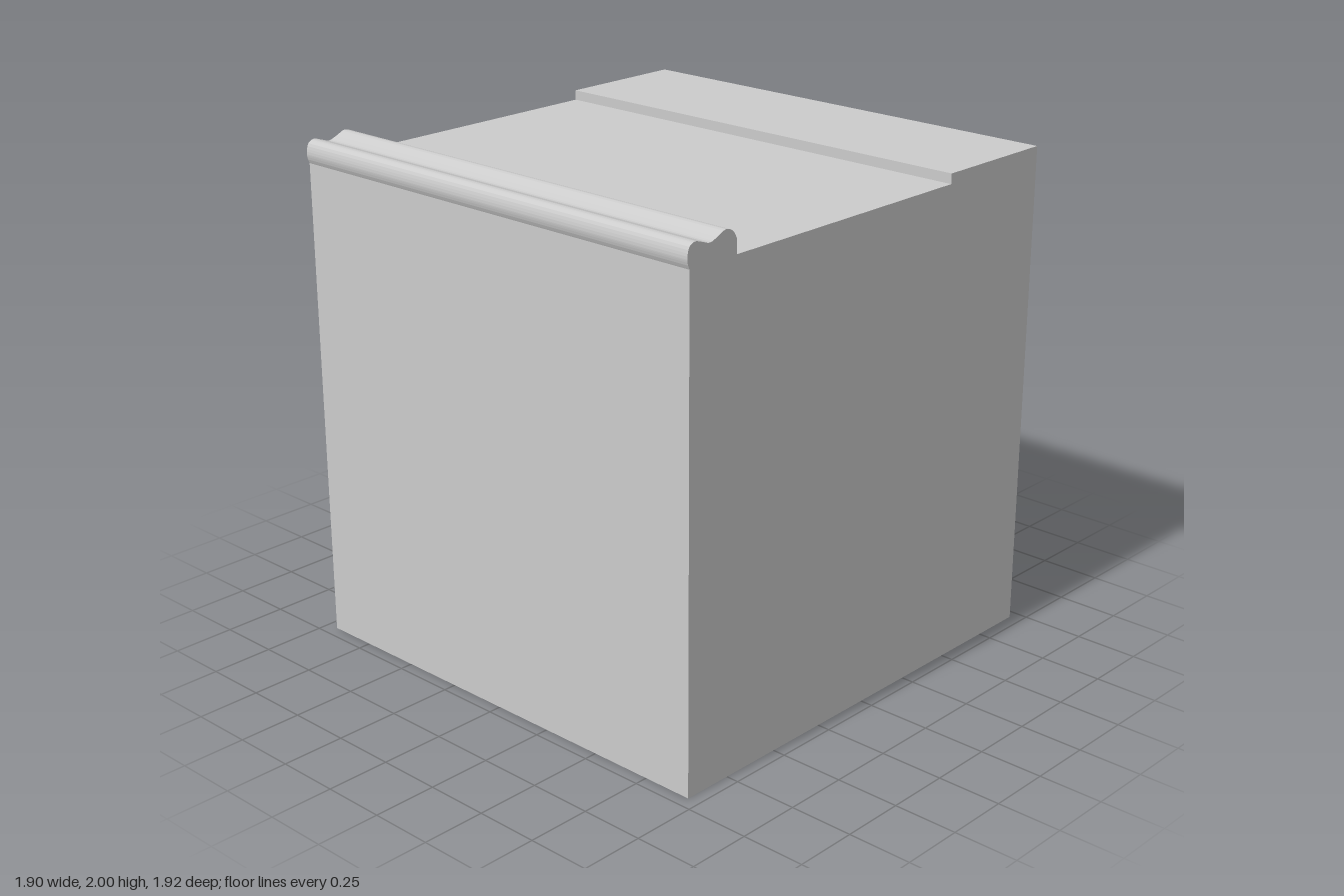
import * as THREE from 'three';
import { toCreasedNormals } from 'three/addons/utils/BufferGeometryUtils.js';

const WIDTH = 1.9;   // along x
const TOP = 1.905;   // height of the main top face
const FRONT = 0.95, BACK = -0.957;

// Extrude a side profile, drawn as (z, y), across the full width
function extrudeAcross(name, shape, material) {
  const geometry = new THREE.ExtrudeGeometry(shape, { depth: WIDTH, bevelEnabled: false, curveSegments: 32 });
  geometry.rotateY(-Math.PI / 2).translate(WIDTH / 2, 0, 0);
  const mesh = new THREE.Mesh(toCreasedNormals(geometry, 0.5), material);
  mesh.name = name;
  return mesh;
}

const points = (list) => list.map(([z, y]) => new THREE.Vector2(z, y));

export function createModel() {
  const group = new THREE.Group();
  group.name = 'steppedBlock';
  const material = new THREE.MeshStandardMaterial({ color: 0xcccccc });

  // Block with a low raised step along the back
  const body = new THREE.Shape(points([
    [BACK, 0], [FRONT, 0], [FRONT, TOP], [-0.425, TOP], [-0.425, 1.944], [BACK, 1.944],
  ]));
  group.add(extrudeAcross('body', body, material));

  // Double-rounded moulding along the front edge, swelling slightly forward
  const moulding = new THREE.Shape();
  moulding.moveTo(0.725, TOP);
  moulding.lineTo(FRONT, TOP);
  moulding.splineThru(points([
    [0.958, 1.925], [0.96, 1.95], [0.95, 1.98], [0.925, 1.992], [0.89, 1.983],
    [0.855, 1.973], [0.82, 1.984], [0.78, 2.0], [0.745, 1.988], [0.725, 1.957],
  ]));
  moulding.closePath();
  group.add(extrudeAcross('frontMoulding', moulding, material));

  return group;
}
